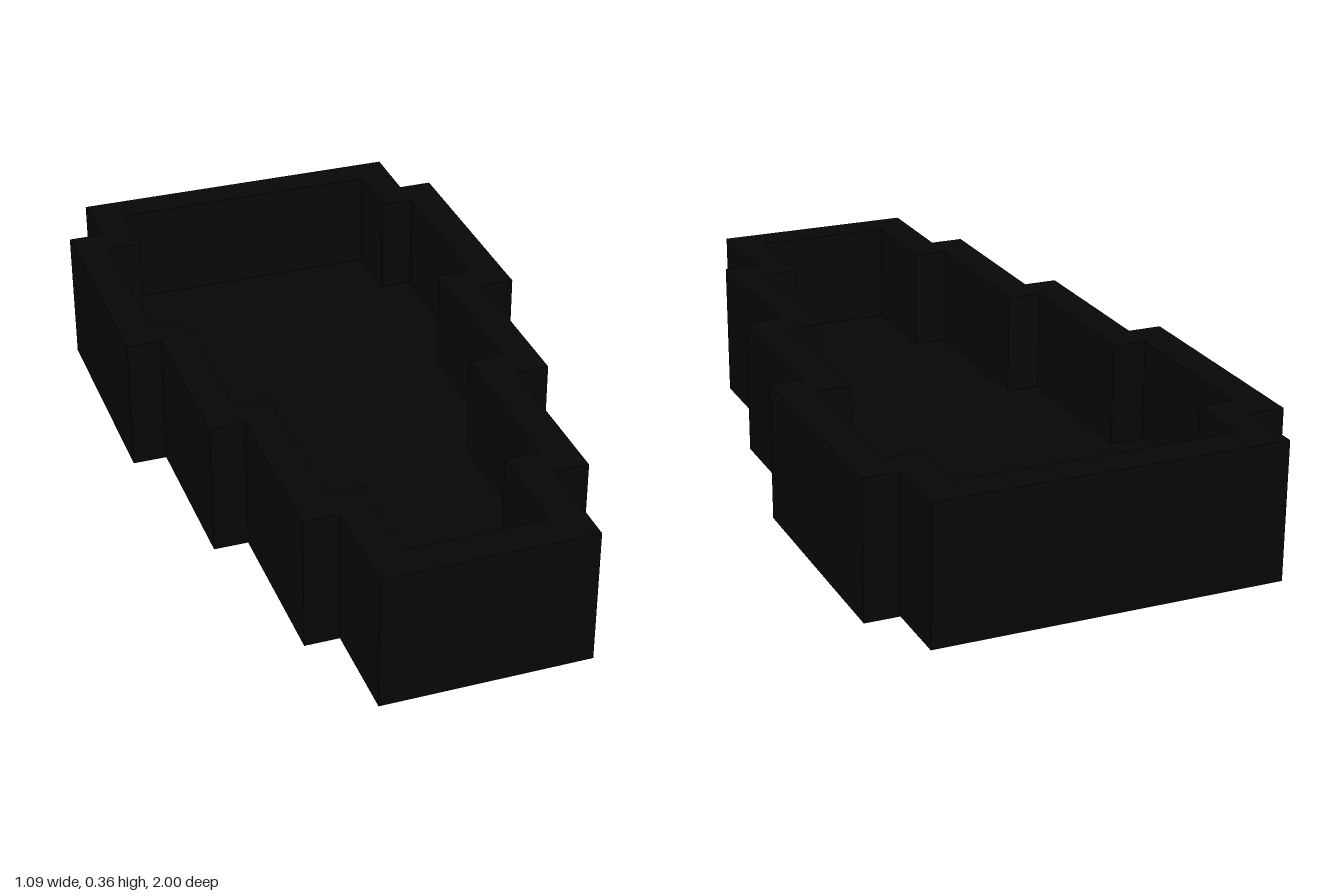
import * as THREE from 'three';

const U = 1 / 11; // one block

// Stepped plan, mirrored in x: rows of [half width, z start, z end] in blocks, back to front
const OUTER = [[5, -11, -9], [6, -9, -2], [5, -2, 3], [4, 3, 8], [3, 8, 11]];
const INNER = [[4, -10, -8], [5, -8, -3], [4, -3, 2], [3, 2, 7], [2, 7, 10]];

// Counter-clockwise outline: down the left side, up the right
function outline(rows) {
  const left = rows.flatMap(([w, z0, z1]) => [[-w, -z0], [-w, -z1]]);
  const right = left.map(([x, y]) => [-x, y]).reverse();
  return [...left, ...right].map(([x, y]) => new THREE.Vector2(x * U, y * U));
}

// Extrude a plan upwards from y = base
function slab(name, shape, base, height, material) {
  const geometry = new THREE.ExtrudeGeometry(shape, { depth: height * U, bevelEnabled: false });
  geometry.rotateX(-Math.PI / 2).translate(0, base * U, 0);
  const mesh = new THREE.Mesh(geometry, material);
  mesh.name = name;
  return mesh;
}

export function createModel() {
  const group = new THREE.Group();
  group.name = 'steppedBox';
  const black = new THREE.MeshStandardMaterial({ color: 0x070707 });
  black.name = 'black';

  // Floor, one block thick
  group.add(slab('floor', new THREE.Shape(outline(OUTER)), 0, 1, black));

  // Walls, one block wide, open at the top
  const ring = new THREE.Shape(outline(OUTER));
  ring.holes.push(new THREE.Path(outline(INNER)));
  group.add(slab('walls', ring, 1, 3, black));

  return group;
}
